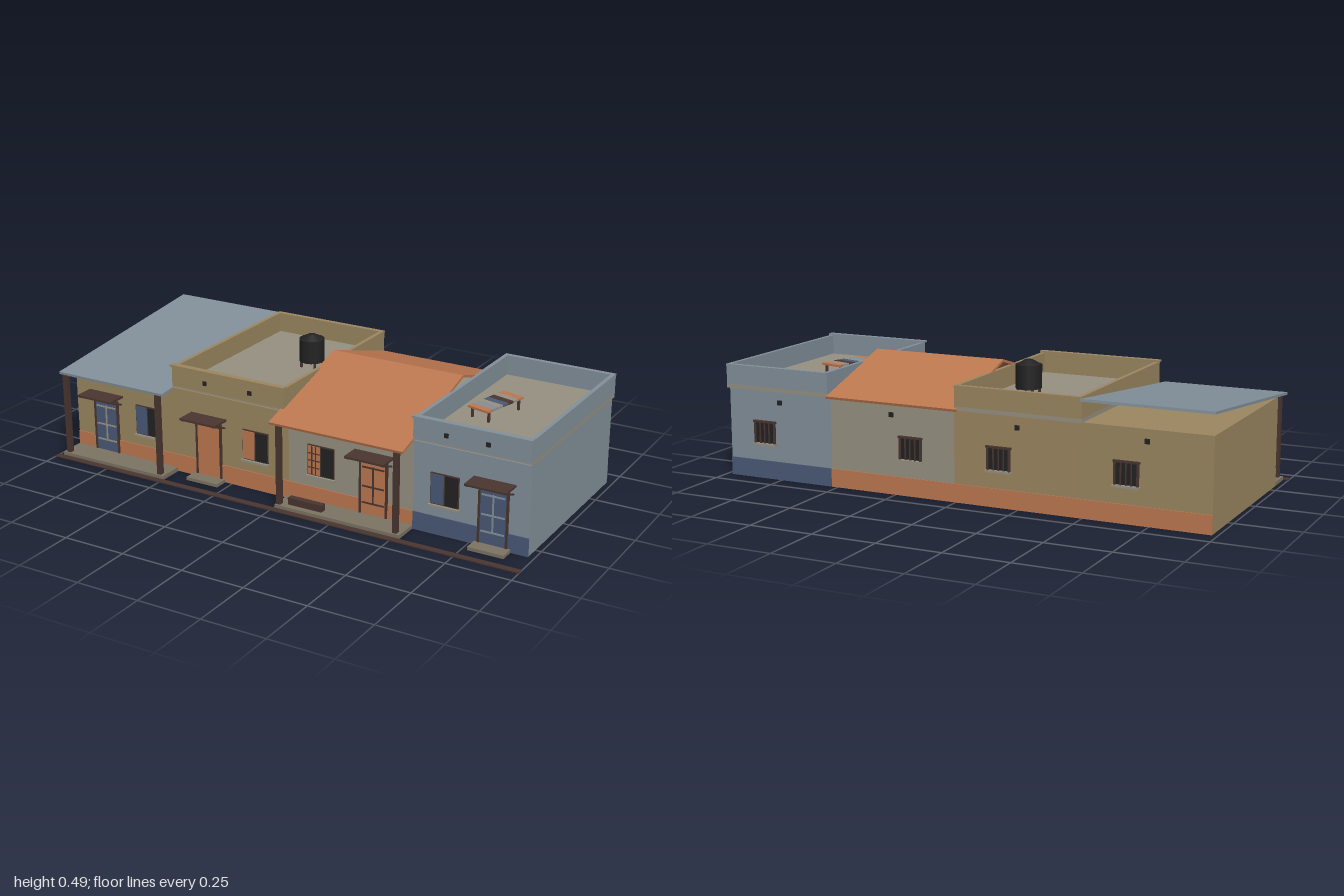
import * as THREE from 'three';

const mat = (name, color) => {
  const m = new THREE.MeshStandardMaterial({ color });
  m.name = name;
  return m;
};

export function createModel() {
  const tan = mat('tan plaster', 0x9c8761);
  const stone = mat('stone grey', 0x979182);
  const blue = mat('blue grey plaster', 0x82909a);
  const clay = mat('terracotta', 0xbd7850);
  const navy = mat('navy paint', 0x4a5a78);
  const brown = mat('dark timber', 0x4a3630);
  const black = mat('black', 0x222222);
  const slab = mat('paving', 0x7c7464);

  const model = new THREE.Group();
  model.name = 'rowHouses';
  const group = (name, parent = model) => {
    const g = new THREE.Group();
    g.name = name;
    parent.add(g);
    return g;
  };
  // box given by its extents
  const box = (parent, name, m, x0, x1, y0, y1, z0, z1) => {
    const mesh = new THREE.Mesh(new THREE.BoxGeometry(x1 - x0, y1 - y0, z1 - z0), m);
    mesh.position.set((x0 + x1) / 2, (y0 + y1) / 2, (z0 + z1) / 2);
    mesh.name = name;
    parent.add(mesh);
    return mesh;
  };
  // thin bar or plate between two (z, y) points, spanning x0..x1
  const slope = (parent, name, m, x0, x1, [za, ya], [zb, yb], t) => {
    const mesh = new THREE.Mesh(new THREE.BoxGeometry(x1 - x0, t, Math.hypot(zb - za, yb - ya)), m);
    mesh.position.set((x0 + x1) / 2, (ya + yb) / 2, (za + zb) / 2);
    mesh.rotation.x = -Math.atan2(yb - ya, zb - za);
    mesh.name = name;
    parent.add(mesh);
  };

  const F = 0.31, B = -0.42, H = 0.345;

  function door(g, c, leaf, trim, panels) {
    const d = group('door', g);
    box(d, 'doorLeaf', leaf, c - 0.05, c + 0.05, 0.012, 0.222, F, F + 0.006);
    for (const s of [-1, 1]) {
      const x = c + s * 0.054;
      box(d, 'doorJamb', brown, x - 0.004, x + 0.004, 0.012, 0.23, F, F + 0.009);
      const bx = c + s * 0.07;
      slope(d, 'awningBracket', brown, bx - 0.004, bx + 0.004, [F, 0.222], [0.388, 0.252], 0.006);
    }
    box(d, 'doorLintel', brown, c - 0.058, c + 0.058, 0.222, 0.232, F, F + 0.009);
    box(d, 'awning', brown, c - 0.08, c + 0.08, 0.251, 0.259, F, 0.39);
    if (panels) {
      const z = F + 0.009;
      box(d, 'doorMullion', trim, c - 0.003, c + 0.003, 0.06, 0.205, F, z);
      for (const y of [0.06, 0.125, 0.2]) box(d, 'doorRail', trim, c - 0.045, c + 0.045, y - 0.003, y + 0.003, F, z);
    }
    return d;
  }

  function frontWindow(g, c, leaf, barred) {
    const w = group('frontWindow', g);
    box(w, 'windowFrame', brown, c - 0.056, c + 0.056, 0.118, 0.238, F, F + 0.005);
    box(w, 'windowLeaf', leaf, c - 0.053, c - 0.003, 0.122, 0.234, F, F + 0.008);
    box(w, 'windowOpening', black, c + 0.003, c + 0.053, 0.122, 0.234, F, F + 0.008);
    box(w, 'windowSill', stone, c - 0.06, c + 0.06, 0.11, 0.118, F, F + 0.014);
    if (barred) {
      for (const y of [0.15, 0.178, 0.206]) box(w, 'windowBar', brown, c - 0.053, c - 0.003, y - 0.002, y + 0.002, F, F + 0.01);
      for (const x of [-0.036, -0.02]) box(w, 'windowBar', brown, c + x - 0.002, c + x + 0.002, 0.122, 0.234, F, F + 0.01);
    }
  }

  function backWindow(g, c) {
    const w = group('backWindow', g);
    box(w, 'rearOpening', black, c - 0.04, c + 0.04, 0.14, 0.222, B - 0.004, B);
    for (const s of [-1, 1]) box(w, 'rearJamb', brown, c + s * 0.043 - 0.004, c + s * 0.043 + 0.004, 0.138, 0.226, B - 0.008, B);
    for (const s of [-1, 0, 1]) box(w, 'rearBar', brown, c + s * 0.02 - 0.002, c + s * 0.02 + 0.002, 0.138, 0.222, B - 0.009, B);
    box(w, 'rearLintel', brown, c - 0.05, c + 0.05, 0.219, 0.227, B - 0.009, B);
    box(w, 'rearSill', stone, c - 0.052, c + 0.052, 0.13, 0.138, B - 0.013, B);
  }

  // walled flat roof with cornice, coping and drain holes
  function parapet(g, x0, x1, m, drains) {
    const p = group('parapet', g), zf = 0.33, zb = -0.435, t = 0.016, top = 0.438;
    box(p, 'roofDeck', stone, x0, x1, H, 0.36, zb, zf);
    box(p, 'frontParapet', m, x0, x1, 0.36, top, zf - t, zf);
    box(p, 'backParapet', m, x0, x1, 0.36, top, zb, zb + t);
    box(p, 'sideParapet', m, x0, x0 + t, 0.36, top, zb + t, zf - t);
    box(p, 'sideParapet', m, x1 - t, x1, 0.36, top, zb + t, zf - t);
    box(p, 'frontCoping', m, x0 - 0.004, x1 + 0.004, top, 0.445, zf - t, zf + 0.008);
    box(p, 'frontCornice', m, x0 - 0.004, x1 + 0.004, H, 0.354, zf, zf + 0.006);
    box(p, 'backCoping', m, x0, x1, 0.43, top, zb - 0.004, zb);
    for (const x of drains) box(p, 'roofDrain', black, x - 0.008, x + 0.008, 0.387, 0.403, zf, zf + 0.005);
  }

  // paved porch with two posts
  function porch(g, x0, x1, posts, top) {
    box(g, 'porchFloor', slab, x0, x1, 0, 0.015, F, 0.415);
    for (const x of posts) box(g, 'porchPost', brown, x - 0.009, x + 0.009, 0.015, top, 0.388, 0.408);
  }

  const houses = [
    { name: 'shedRoofHouse', x0: -0.98, x1: -0.5, wall: tan, base: clay, door: -0.835, leaf: navy, trim: stone, win: -0.635, rear: -0.665 },
    { name: 'tankRoofHouse', x0: -0.5, x1: 0.005, wall: tan, base: clay, door: -0.35, leaf: clay, trim: clay, win: -0.14, rear: -0.175 },
    { name: 'gableHouse', x0: 0.005, x1: 0.525, wall: stone, base: clay, door: 0.365, leaf: clay, trim: brown, win: 0.145, rear: 0.185 },
    { name: 'benchRoofHouse', x0: 0.525, x1: 0.977, wall: blue, base: navy, door: 0.84, leaf: navy, trim: blue, win: 0.65, rear: 0.82 },
  ];
  const built = houses.map((h, i) => {
    const g = group(h.name), mid = (h.x0 + h.x1) / 2;
    box(g, 'walls', h.wall, h.x0, h.x1, 0, H, B, F);
    for (const [z0, z1] of [[F, F + 0.004], [B - 0.004, B]]) box(g, 'plinth', h.base, h.x0, h.x1, 0, 0.07, z0, z1);
    door(g, h.door, h.leaf, h.trim, i !== 1);
    frontWindow(g, h.win, h.leaf, i === 2);
    backWindow(g, h.rear);
    box(g, 'rearVent', black, mid - 0.009, mid + 0.009, 0.293, 0.311, B - 0.005, B);
    if (i % 2) box(g, 'doorStep', slab, h.door - 0.07, h.door + 0.07, 0, 0.013, F, 0.37);
    return g;
  });

  // raised lean-to roof
  porch(built[0], -0.98, -0.5, [-0.96, -0.522], 0.338);
  slope(built[0], 'shedRoof', blue, -0.988, -0.497, [-0.442, 0.428], [0.403, 0.342], 0.01);

  // flat roof with water tank
  parapet(built[1], -0.5, -0.003, tan, [-0.35, -0.15]);
  const tank = group('waterTank', built[1]);
  tank.position.set(-0.152, 0, -0.12);
  const cyl = (name, r0, r1, h, y) => {
    const m = new THREE.Mesh(new THREE.CylinderGeometry(r0, r1, h, 16), black);
    m.position.y = y + h / 2;
    m.name = name;
    tank.add(m);
  };
  cyl('tankBody', 0.05, 0.05, 0.09, 0.385);
  cyl('tankLid', 0.015, 0.046, 0.017, 0.475);
  for (const sx of [-1, 1]) for (const sz of [-1, 1])
    box(tank, 'tankLeg', brown, sx * 0.03 - 0.004, sx * 0.03 + 0.004, 0.36, 0.385, sz * 0.03 - 0.004, sz * 0.03 + 0.004);

  // gabled roof and porch bench
  porch(built[2], 0.005, 0.525, [0.017, 0.502], 0.33);
  slope(built[2], 'frontRoofSlope', clay, -0.016, 0.533, [-0.055, 0.466], [0.413, 0.332], 0.01);
  slope(built[2], 'backRoofSlope', clay, -0.016, 0.533, [-0.443, 0.346], [-0.055, 0.466], 0.01);
  box(built[2], 'porchBench', brown, 0.048, 0.192, 0.015, 0.042, 0.365, 0.39);

  // flat roof with slatted bench
  parapet(built[3], 0.53, 0.98, blue, [0.66, 0.82]);
  const bench = group('slattedBench', built[3]);
  bench.position.set(0.68, 0, -0.027);
  bench.rotation.y = -0.25 + Math.PI;
  [clay, stone, brown, navy, stone, blue, clay].forEach((m, i) => {
    const z = (3 - i) * 0.0295;
    box(bench, 'benchSlat', m, -0.046, 0.046, 0.4, 0.408, z - 0.0145, z + 0.0145);
  });
  for (const sx of [-1, 1]) for (const sz of [-1, 1])
    box(bench, 'benchLeg', brown, sx * 0.038 - 0.004, sx * 0.038 + 0.004, 0.36, 0.4, sz * 0.085 - 0.004, sz * 0.085 + 0.004);

  // kerb along the street
  box(model, 'kerb', brown, -1, 1, 0, 0.004, 0.418, 0.444);
  return model;
}
